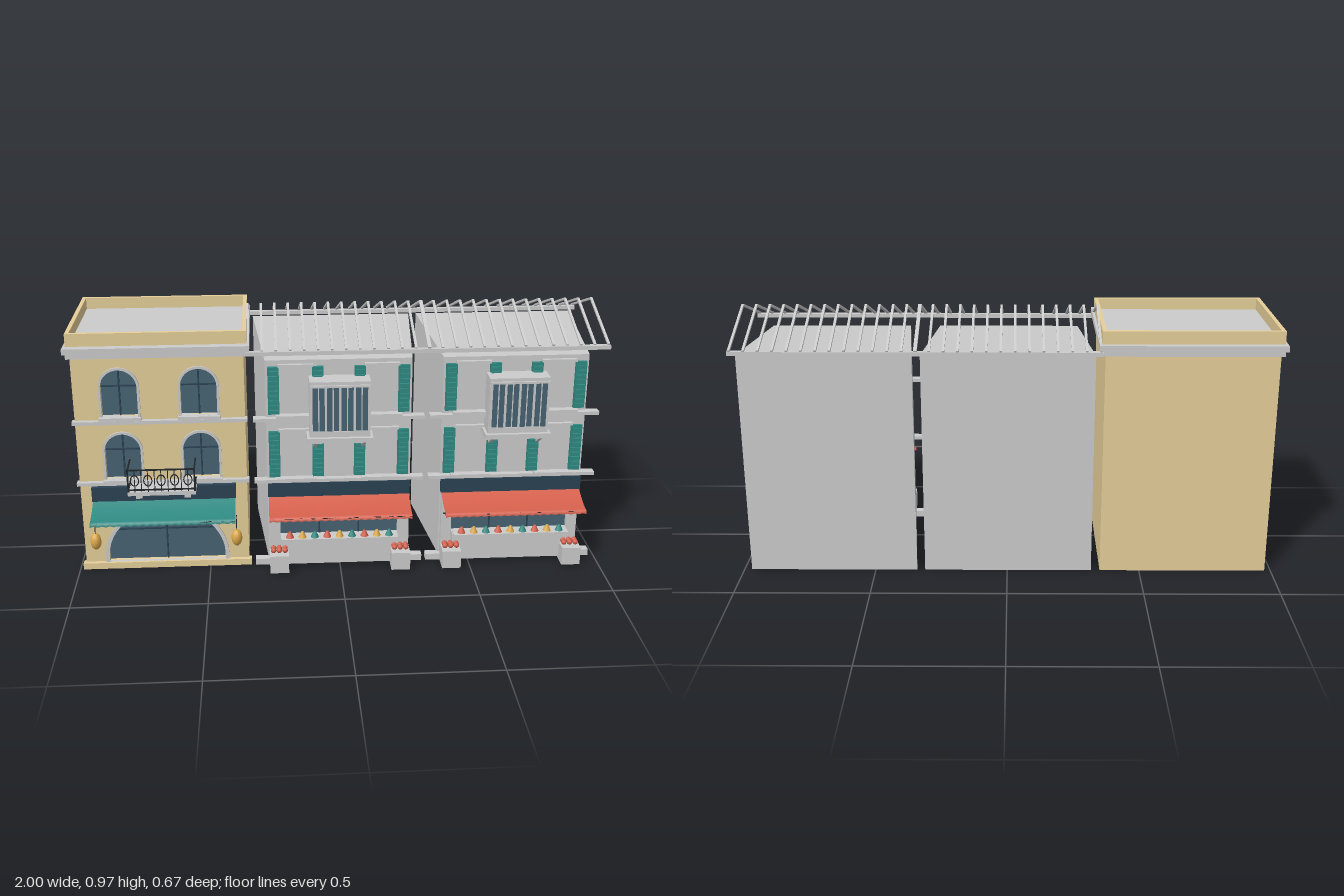
import * as THREE from 'three';

const mat = (color, side = THREE.FrontSide) => new THREE.MeshStandardMaterial({ color, side });
const M = {
  grey: mat(0xcccccc), tan: mat(0xe6cf9a), glass: mat(0x476473), teal: mat(0x2f8a83), coral: mat(0xd4604c),
  navy: mat(0x2b4254), yellow: mat(0xdda94a), iron: mat(0x22262a),
  tealCloth: mat(0x2f8a83, THREE.DoubleSide), coralCloth: mat(0xd4604c, THREE.DoubleSide),
};

function add(g, name, geo, m, x = 0, y = 0, z = 0) {
  const mesh = new THREE.Mesh(geo, m);
  mesh.name = name;
  mesh.position.set(x, y, z);
  g.add(mesh);
  return mesh;
}
// box given by its limits on each axis
const box = (g, name, m, x0, x1, y0, y1, z0, z1) =>
  add(g, name, new THREE.BoxGeometry(x1 - x0, y1 - y0, z1 - z0), m, (x0 + x1) / 2, (y0 + y1) / 2, (z0 + z1) / 2);
// straight bar between two points
function bar(g, name, m, a, b, w = 0.005, h = w) {
  const p = new THREE.Vector3(...a), q = new THREE.Vector3(...b);
  const mesh = add(g, name, new THREE.BoxGeometry(w, h, p.distanceTo(q)), m);
  mesh.position.copy(p).lerp(q, 0.5);
  mesh.lookAt(q);
  return mesh;
}
function extrude(g, name, shape, m, z, depth) {
  return add(g, name, new THREE.ExtrudeGeometry(shape, { depth, bevelEnabled: false, curveSegments: 14 }), m, 0, 0, z);
}
// arched outline: straight jambs, then half an ellipse
function arch(cx, y0, spring, rx, ry, T = THREE.Shape) {
  const s = new T();
  s.moveTo(cx - rx, y0);
  s.lineTo(cx + rx, y0);
  s.lineTo(cx + rx, spring);
  s.absellipse(cx, spring, rx, ry, 0, Math.PI, false);
  s.lineTo(cx - rx, y0);
  return s;
}

// sagging cloth awning with a hanging valance, plus its arms
function awning(g, cloth) {
  const w = 0.535, n = 8, geo = new THREE.PlaneGeometry(w, 1, 36, n + 1), p = geo.attributes.position;
  for (let i = 0; i < p.count; i++) {
    const row = Math.floor(i / 37), t = Math.min(row / n, 1);
    let y = 0.288 - 0.036 * (1 - Math.pow(1 - t, 1.8));
    if (row > n) y -= (i % 2 ? 0.014 : 0.010);
    p.setXYZ(i, p.getX(i), y, 0.208 + 0.126 * t);
  }
  geo.computeVertexNormals();
  add(g, 'awning', geo, cloth);
  for (const s of [-1, 1]) bar(g, 'awningArm', M.iron, [s * 0.255, 0.195, 0.2], [s * 0.255, 0.25, 0.33]);
  bar(g, 'awningRail', M.iron, [-w / 2, 0.25, 0.332], [w / 2, 0.25, 0.332], 0.004);
}

function signBoard(g) {
  box(g, 'signBoard', M.navy, -0.27, 0.27, 0.287, 0.343, 0.185, 0.212);
}

function tanHouse() {
  const g = new THREE.Group();
  g.name = 'tanHouse';
  const hw = 0.313, openings = [];
  for (const x of [-0.145, 0.145]) for (const y of [0.37, 0.62]) openings.push([x, y, y + 0.115, 0.066, 0.066]);
  const door = [0, 0.025, 0.05, 0.222, 0.195];
  openings.push(door);

  // body and pierced front wall
  box(g, 'body', M.tan, -hw, hw, 0, 0.86, -0.31, 0.165);
  const wall = new THREE.Shape([[-hw, 0], [hw, 0], [hw, 0.86], [-hw, 0.86]].map(a => new THREE.Vector2(...a)));
  openings.forEach(o => wall.holes.push(arch(...o, THREE.Path)));
  extrude(g, 'frontWall', wall, M.tan, 0.164, 0.027);

  // glazing, surrounds and bars of each opening
  for (const o of openings) {
    const [x, y0, sp, rx, ry] = o, big = o === door, t = big ? 0.014 : 0.009;
    extrude(g, 'glass', arch(...o), M.glass, 0.163, 0.008);
    const trim = arch(x, y0, sp, rx + t, ry + t);
    trim.holes.push(arch(x, y0 + 0.0001, sp, rx, ry, THREE.Path));
    extrude(g, 'surround', trim, M.grey, 0.185, 0.014);
    box(g, 'mullion', M.navy, x - 0.003, x + 0.003, y0, sp + ry, 0.168, 0.178);
    const cross = big ? 0.15 : sp - 0.003;
    const half = big ? 0.19 : rx;
    box(g, 'transom', M.navy, x - half, x + half, cross, cross + 0.005, 0.168, 0.178);
    if (!big) box(g, 'sill', M.grey, x - rx - 0.012, x + rx + 0.012, y0 - 0.012, y0, 0.17, 0.212);
  }

  // plinth, string courses, stepped cornice
  box(g, 'plinth', M.tan, -0.323, 0.323, 0, 0.025, 0.18, 0.208);
  for (const y of [0.35, 0.594]) box(g, 'stringCourse', M.grey, -0.322, 0.322, y, y + 0.013, 0.18, 0.21);
  box(g, 'cornice', M.grey, -0.325, 0.325, 0.85, 0.87, -0.322, 0.212);
  box(g, 'cornice', M.grey, -0.335, 0.335, 0.87, 0.892, -0.333, 0.225);

  // parapet around the flat roof
  box(g, 'roofDeck', M.grey, -0.31, 0.31, 0.89, 0.896, -0.3, 0.19);
  for (const z of [-0.31, 0.178]) box(g, 'parapet', M.tan, -0.325, 0.325, 0.89, 0.94, z, z + 0.015);
  for (const x of [-0.325, 0.31]) box(g, 'parapet', M.tan, x, x + 0.015, 0.89, 0.94, -0.295, 0.178);

  signBoard(g);
  awning(g, M.tealCloth);

  // balcony
  box(g, 'balconySlab', M.grey, -0.125, 0.125, 0.345, 0.36, 0.19, 0.297);
  for (const x of [-0.09, 0.09]) box(g, 'balconyBracket', M.grey, x - 0.012, x + 0.012, 0.31, 0.345, 0.19, 0.245);
  const rail = new THREE.Group();
  rail.name = 'balconyRailing';
  g.add(rail);
  for (const y of [0.368, 0.447]) {
    bar(rail, 'rail', M.iron, [-0.122, y, 0.294], [0.122, y, 0.294]);
    for (const s of [-1, 1]) bar(rail, 'rail', M.iron, [s * 0.122, y, 0.19], [s * 0.122, y, 0.294]);
  }
  for (let i = 0; i <= 10; i++) {
    const x = -0.122 + i * 0.0244;
    box(rail, 'baluster', M.iron, x - 0.0015, x + 0.0015, 0.36, 0.447, 0.2925, 0.2955);
    if (i % 2) add(rail, 'ring', new THREE.TorusGeometry(0.015, 0.002, 5, 14), M.iron, x, 0.405, 0.294).scale.y = 1.4;
  }
  for (const s of [-1, 1]) box(rail, 'post', M.iron, s * 0.122 - 0.003, s * 0.122 + 0.003, 0.36, 0.45, 0.291, 0.297);

  // hanging lanterns
  for (const x of [-0.268, 0.268]) {
    add(g, 'lantern', new THREE.SphereGeometry(0.021, 12, 8), M.yellow, x, 0.122, 0.213).scale.y = 1.6;
    bar(g, 'lanternCord', M.iron, [x, 0.155, 0.213], [x, 0.205, 0.213], 0.003);
    bar(g, 'lanternHook', M.iron, [x, 0.205, 0.185], [x, 0.205, 0.216], 0.003);
  }
  return g;
}

function greyHouse() {
  const g = new THREE.Group();
  g.name = 'greyHouse';

  // body narrowing toward the front
  const geo = new THREE.BoxGeometry(0.63, 0.85, 0.5).toNonIndexed(), p = geo.attributes.position;
  for (let i = 0; i < p.count; i++) {
    if (p.getZ(i) > 0) p.setXY(i, Math.sign(p.getX(i)) * 0.272, p.getY(i) > 0 ? 0.4 : -0.407);
  }
  geo.computeVertexNormals();
  add(g, 'body', geo, M.grey, 0, 0.425, -0.06);

  // plinth, string courses, eaves
  box(g, 'plinth', M.grey, -0.322, 0.322, 0, 0.025, 0.18, 0.212);
  for (const y of [0.345, 0.592]) box(g, 'stringCourse', M.grey, -0.32, 0.32, y, y + 0.013, 0.18, 0.213);
  box(g, 'eave', M.grey, -0.34, 0.34, 0.853, 0.868, 0.205, 0.226);
  box(g, 'eave', M.grey, -0.34, 0.34, 0.853, 0.868, -0.335, -0.314);

  // open pitched roof of slender rafters
  for (let i = 0; i < 14; i++) {
    const x = -0.332 + i * 0.0511;
    for (const z of [0.218, -0.332]) bar(g, 'rafter', M.grey, [x, 0.87, z], [x, 0.97, -0.058], 0.009, 0.008);
  }

  // windows with louvred shutters
  for (const y of [0.365, 0.618]) {
    for (const x of [-0.16, 0.16]) {
      const h = 0.183;
      box(g, 'windowPane', M.grey, x - 0.06, x + 0.06, y, y + h, 0.18, 0.194);
      box(g, 'windowHead', M.grey, x - 0.065, x + 0.065, y + h, y + h + 0.01, 0.18, 0.205);
      box(g, 'windowSill', M.grey, x - 0.075, x + 0.075, y - 0.01, y, 0.18, 0.224);
      for (const s of [-1, 1]) {
        const c = x + s * 0.082;
        box(g, 'shutter', M.teal, c - 0.021, c + 0.021, y, y + h, 0.187, 0.203);
        for (let k = 0; k < 9; k++)
          box(g, 'louvre', M.teal, c - 0.017, c + 0.017, y + 0.01 + k * 0.019, y + 0.018 + k * 0.019, 0.2, 0.211);
      }
    }
  }

  // projecting bay with four lights
  box(g, 'bay', M.grey, -0.112, 0.112, 0.55, 0.765, 0.18, 0.273);
  box(g, 'bayBase', M.grey, -0.122, 0.122, 0.532, 0.551, 0.18, 0.288);
  for (let i = 0; i < 4; i++) {
    const x = -0.079 + i * 0.0527;
    box(g, 'bayGlass', M.glass, x - 0.022, x + 0.022, 0.575, 0.745, 0.27, 0.277);
    box(g, 'bayBar', M.grey, x - 0.002, x + 0.002, 0.575, 0.745, 0.275, 0.279);
  }
  for (let i = 0; i < 5; i++) {
    const x = -0.1055 + i * 0.0527;
    box(g, 'bayPost', M.grey, x - 0.004, x + 0.004, 0.575, 0.745, 0.27, 0.281);
  }
  for (const y of [0.568, 0.745]) box(g, 'bayRail', M.grey, -0.11, 0.11, y, y + 0.008, 0.27, 0.281);
  for (const x of [-0.09, 0.09]) bar(g, 'bayBracket', M.grey, [x, 0.485, 0.195], [x, 0.536, 0.275], 0.012);

  // shop front
  for (const x of [-0.245, 0.245]) box(g, 'shopPost', M.grey, x - 0.02, x + 0.02, 0.02, 0.29, 0.18, 0.208);
  box(g, 'shopGlass', M.glass, -0.225, 0.225, 0.12, 0.29, 0.185, 0.195);
  for (const x of [-0.075, 0.075]) box(g, 'shopMullion', M.navy, x - 0.003, x + 0.003, 0.12, 0.29, 0.19, 0.199);
  box(g, 'counter', M.grey, -0.225, 0.225, 0.02, 0.125, 0.185, 0.243);
  box(g, 'tray', M.grey, -0.222, 0.222, 0.126, 0.132, 0.22, 0.268);
  signBoard(g);
  awning(g, M.coralCloth);

  // heaps of spice on the tray
  const spice = [M.coral, M.yellow, M.teal];
  for (let i = 0; i < 9; i++)
    add(g, 'spiceHeap', new THREE.CylinderGeometry(0.005, 0.016, 0.024, 10), spice[i % 3], -0.19 + i * 0.0475, 0.143, 0.247);

  // crates of fruit
  for (const x of [-0.232, 0.232]) {
    box(g, 'crate', M.grey, x - 0.036, x + 0.036, 0.006, 0.077, 0.225, 0.297);
    for (const dx of [-0.022, 0, 0.022]) for (const z of [0.242, 0.262])
      add(g, 'fruit', new THREE.SphereGeometry(0.011, 8, 6), M.coral, x + dx, 0.086, z);
  }
  return g;
}

export function createModel() {
  const model = new THREE.Group();
  model.name = 'shopRow';
  const houses = [[tanHouse(), -0.664], [greyHouse(), -0.003], [greyHouse(), 0.657]];
  for (const [h, x] of houses) {
    h.position.x = x;
    model.add(h);
  }
  return model;
}
